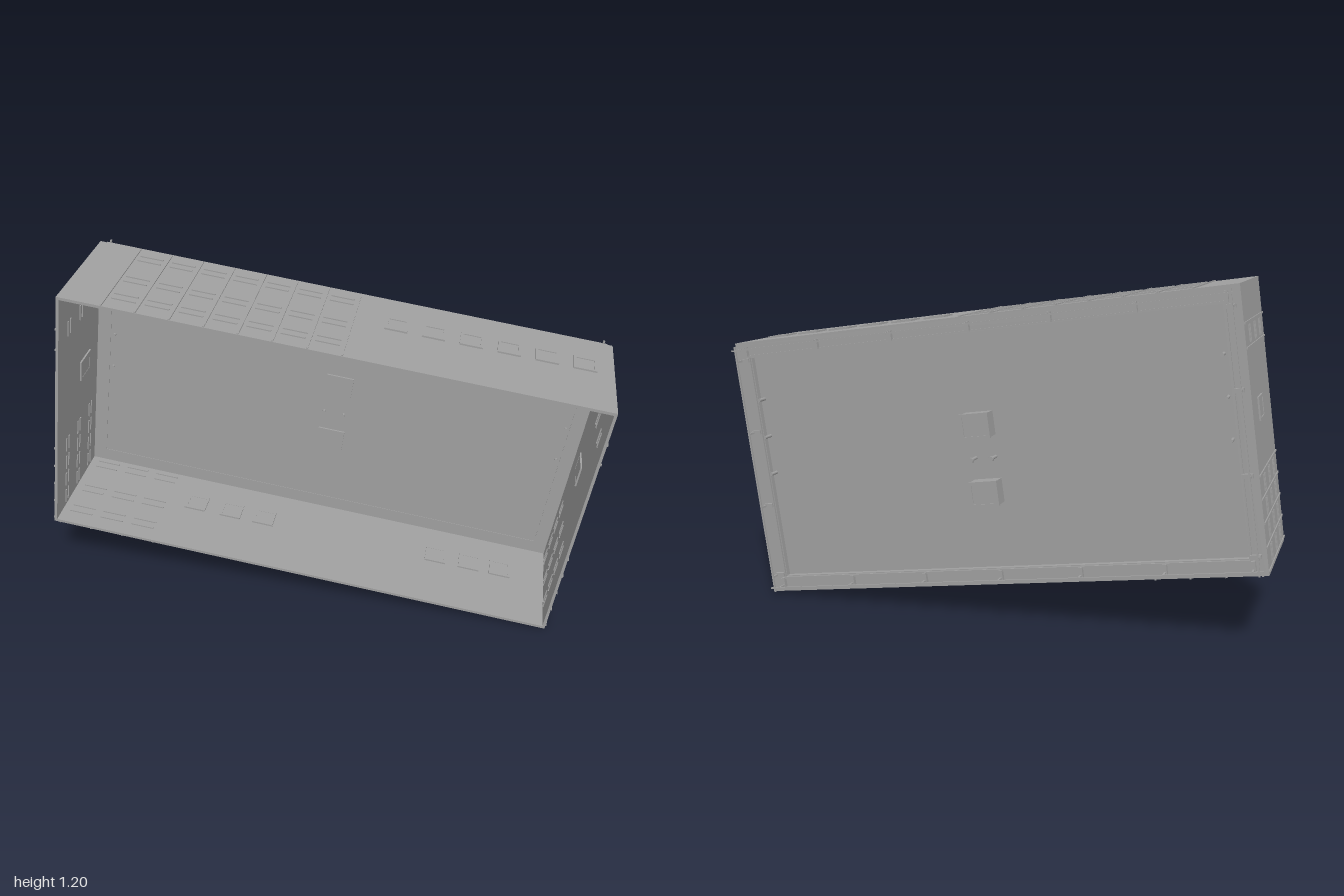
import * as THREE from 'three';

const W = 1.862, H = 0.955, D = 0.45, T = 0.01;

export function createModel() {
  const root = new THREE.Group();
  root.name = 'openCase';
  const grey = new THREE.MeshStandardMaterial({ color: 0xa0a0a0 });
  grey.name = 'plain grey';

  function add(parent, name, geometry, x, y, z) {
    const mesh = new THREE.Mesh(geometry, grey);
    mesh.name = name;
    mesh.position.set(x, y, z);
    parent.add(mesh);
    return mesh;
  }
  const box = (parent, name, w, h, d, x, y, z) =>
    add(parent, name, new THREE.BoxGeometry(w, h, d), x, y, z);

  // Rectangular ring extruded along z
  function ring(w, h, iw, ih, depth) {
    const rect = (Type, a, b) => {
      const p = new Type();
      p.moveTo(-a / 2, -b / 2);
      p.lineTo(a / 2, -b / 2);
      p.lineTo(a / 2, b / 2);
      p.lineTo(-a / 2, b / 2);
      p.closePath();
      return p;
    };
    const shape = rect(THREE.Shape, w, h);
    shape.holes.push(rect(THREE.Path, iw, ih));
    return new THREE.ExtrudeGeometry(shape, { depth, bevelEnabled: false });
  }

  // Walls: local x runs along the wall, y points outward, z is depth
  function wall(name, length, turn, x, y) {
    const g = new THREE.Group();
    g.name = name;
    g.rotation.z = turn;
    g.position.set(x, y, 0);
    box(g, name + 'Panel', length, T, D, 0, -T / 2, 0);
    root.add(g);
    return g;
  }

  // Framed hatch that passes through the wall
  function hatch(parent, x, z, w, d) {
    const frame = add(parent, 'hatchFrame', ring(w, d, w - 0.018, d - 0.018, 0.022), x, 0.006, z);
    frame.rotation.x = Math.PI / 2;
    box(parent, 'hatchPlate', w - 0.016, 0.018, d - 0.016, x, -0.006, z);
  }

  // Cross ribs with paired rows of short bars between them
  function ribGrid(parent, start, end, count, rows) {
    const step = (end - start) / (count - 1);
    for (let i = 0; i < count; i++) {
      const x = start + i * step;
      box(parent, 'crossRib', 0.006, 0.006, D - 0.004, x, 0.001, 0);
      if (i === count - 1) break;
      for (const z of rows) {
        box(parent, 'ribBar', step * 0.72, 0.018, 0.006, x + step / 2, -0.005, z);
      }
    }
  }

  const rows = [-0.17, -0.135, -0.005, 0.03, 0.125, 0.16];
  const sideRows = [-0.135, -0.11, -0.01, 0.015, 0.11, 0.135];

  const top = wall('topWall', W, 0, 0, H / 2);
  ribGrid(top, -0.78, 0.03, 8, rows);
  for (let i = 0; i < 6; i++) hatch(top, 0.18 + i * 0.13, -0.05, 0.08, 0.08);

  // The bottom's local x is mirrored
  const bottom = wall('bottomWall', W, Math.PI, 0, -H / 2);
  ribGrid(bottom, 0.55, 0.91, 4, rows);
  for (const u of [0.18, 0.31, 0.45, -0.5, -0.63, -0.75]) hatch(bottom, u, -0.04, 0.08, 0.08);

  // End walls, with s marking which local direction is up
  for (const s of [1, -1]) {
    const end = wall(s > 0 ? 'rightEndWall' : 'leftEndWall', H - 2 * T,
      -s * Math.PI / 2, s * W / 2, 0);
    const up = -s;
    ribGrid(end, up * -0.462, up * -0.145, 5, sideRows);
    ribGrid(end, up * 0.27, up * 0.35, 2, sideRows);
    hatch(end, up * 0.055, -0.05, 0.08, 0.1);
  }

  // Back rim and recessed panel
  const back = -D / 2;
  add(root, 'backRim', ring(W - 2 * T, H - 2 * T, W - 0.12, H - 0.12, 0.03), 0, 0, back);
  box(root, 'backPanel', W - 0.118, H - 0.118, 0.008, 0, 0, back + 0.024);

  // Centre boxes and pegs through the panel
  for (const v of [0.1, -0.14]) {
    box(root, 'backBox', 0.1, 0.085, 0.075, 0.01, v, back - 0.003);
    const lip = add(root, 'backBoxLip', ring(0.106, 0.09, 0.085, 0.07, 0.01), 0.01, v, back - 0.044);
    lip.name = 'backBoxLip';
  }
  function peg(x, y, z0, z1, r) {
    const p = add(root, 'peg', new THREE.CylinderGeometry(r, r, z1 - z0, 8), x, y, (z0 + z1) / 2);
    p.rotation.x = Math.PI / 2;
  }
  for (const u of [-0.03, 0.045]) {
    peg(u, -0.02, back - 0.03, back + 0.04, 0.006);
    peg(u, -0.02, back - 0.036, back - 0.026, 0.01);
  }
  for (const s of [1, -1]) {
    for (const v of [0.26, 0.12, -0.02]) peg(s * (W / 2 - 0.075), v, back - 0.02, back + 0.036, 0.006);
  }

  // Rail loop standing off the back on posts
  const rx = W / 2 - 0.025, ry = H / 2 - 0.025, rz = back - 0.045;
  for (const s of [1, -1]) {
    box(root, 'longRail', 2 * rx + 0.03, 0.006, 0.006, 0, s * ry, rz);
    box(root, 'shortRail', 0.006, 2 * ry + 0.03, 0.006, s * rx, 0, rz);
    box(root, 'longTrim', 2 * rx - 0.05, 0.008, 0.01, 0, s * (ry - 0.028), back - 0.003);
    box(root, 'shortTrim', 0.008, 2 * ry - 0.05, 0.01, s * (rx - 0.028), 0, back - 0.003);
  }
  function post(x, y, dx, dy) {
    box(root, 'railPost', 0.007, 0.007, 0.047, x, y, back - 0.0235);
    box(root, 'railFoot', 0.014 + Math.abs(dx), 0.014 + Math.abs(dy), 0.016,
      x - dx / 2, y - dy / 2, back - 0.007);
  }
  for (const s of [1, -1]) {
    for (let i = -3; i <= 3; i++) post(i * 0.295, s * ry, 0, s * 0.022);
    for (const v of [-0.41, -0.14, 0.14, 0.41]) post(s * rx, v, s * 0.022, 0);
  }

  // Tilted resting pose
  root.rotation.order = 'YXZ';
  root.rotation.set(0, -2.65 * Math.PI / 180, -8 * Math.PI / 180);
  root.position.set(0, 0.604, 0.022);
  const model = new THREE.Group();
  model.name = 'tiltedCase';
  model.add(root);
  return model;
}
